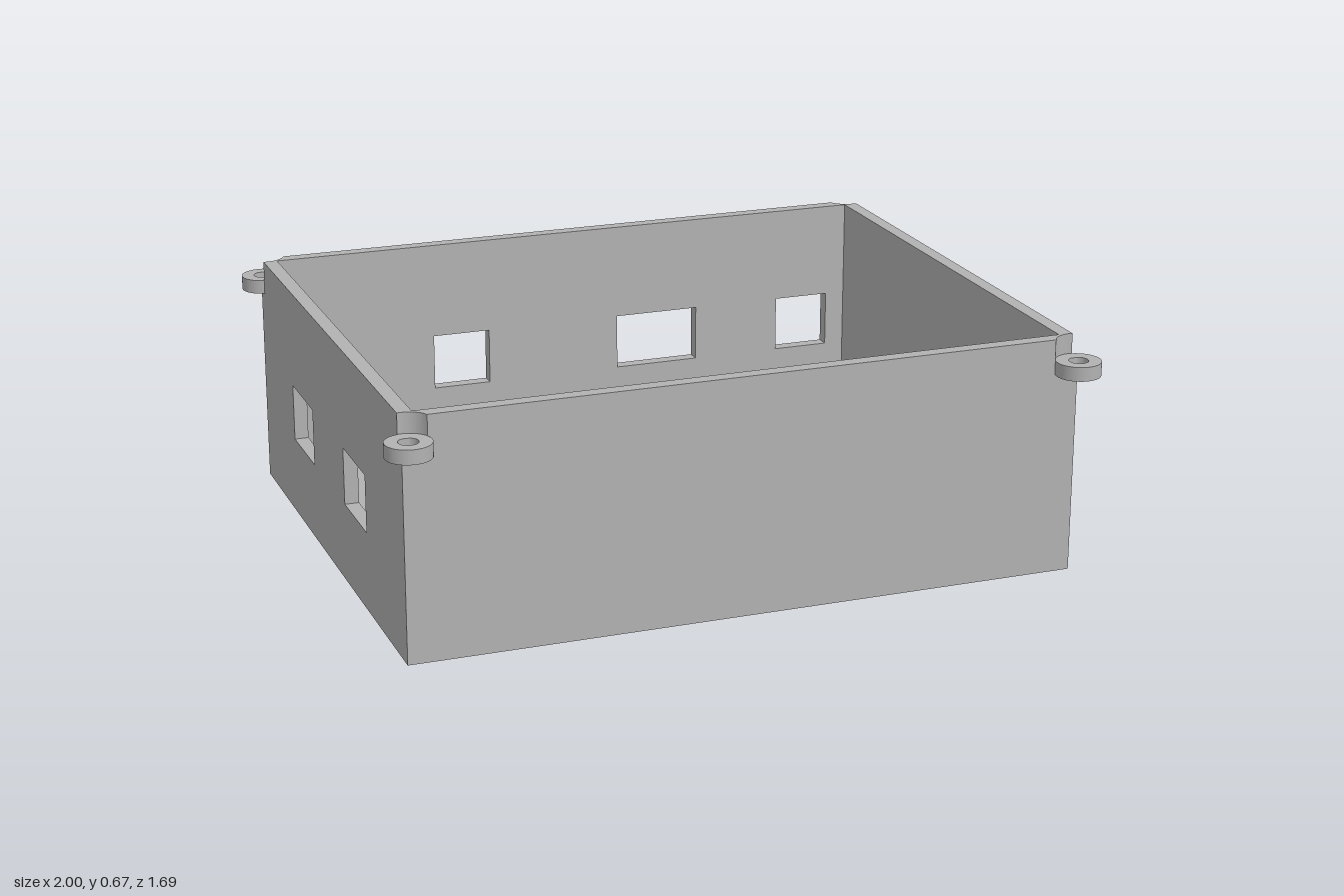
import * as THREE from 'three';

const HX = 0.949, HZ = 0.757, H = 0.674, T = 0.04;      // outer half sizes, height, wall thickness
const LUG = { x: 0.9375, z: 0.782, r: 0.0625, hole: 0.027, y0: 0.577, y1: 0.617 };

const extrude = (shape, depth) =>
  new THREE.ExtrudeGeometry(shape, { depth, bevelEnabled: false, curveSegments: 32 });

// Closed rectangle outline from two opposite corners
function rect(PathType, x0, y0, x1, y1) {
  return new PathType([[x0, y0], [x1, y0], [x1, y1], [x0, y1]].map(p => new THREE.Vector2(...p)));
}

function circle(PathType, x, y, r) {
  const p = new PathType();
  p.absarc(x, y, r, 0, Math.PI * 2, false);
  return p;
}

// Upright wall panel with cut-outs, extruded by the wall thickness
function wallGeometry(half, holes) {
  const shape = rect(THREE.Shape, -half, 0, half, LUG.y1);
  shape.holes.push(...holes);
  return extrude(shape, T);
}

const slot = (x0, x1, y0, y1) => rect(THREE.Path, x0, y0, x1, y1);

// Plan of the rim: rectangle whose corners are scooped out above the lugs
function rimShape() {
  const a0 = -Math.acos((HX - LUG.x) / LUG.r);
  const a1 = -Math.PI + Math.asin((LUG.z - HZ) / LUG.r);
  const arc = [];
  for (let i = 0; i <= 12; i++) {
    const a = a0 + (a1 - a0) * i / 12;
    arc.push([LUG.x + LUG.r * Math.cos(a), LUG.z + LUG.r * Math.sin(a)]);
  }
  const points = [];
  for (const [sx, sz] of [[1, 1], [-1, 1], [-1, -1], [1, -1]]) {
    const corner = arc.map(([x, z]) => new THREE.Vector2(x * sx, z * sz));
    points.push(...(sx * sz > 0 ? corner : corner.reverse()));
  }
  const shape = new THREE.Shape(points);
  shape.holes.push(slot(T - HX, HX - T, T - HZ, HZ - T));
  return shape;
}

export function createModel() {
  const group = new THREE.Group();
  group.name = 'enclosureBase';
  const grey = new THREE.MeshStandardMaterial({ color: 0xb2b2b2 });
  grey.name = 'grey plastic';

  const add = (name, geometry, x, y, z) => {
    const mesh = new THREE.Mesh(geometry, grey);
    mesh.name = name;
    mesh.position.set(x, y, z);
    group.add(mesh);
    return mesh;
  };

  // Floor
  add('floor', new THREE.BoxGeometry(2 * (HX - T), T, 2 * (HZ - T)), 0, T / 2, 0);

  // Front wall is plain, back wall has three ports
  add('frontWall', wallGeometry(HX, []), 0, 0, HZ - T);
  add('backWall', wallGeometry(HX, [
    slot(0.68, 0.85, 0.225, 0.39),
    slot(0.15, 0.41, 0.225, 0.39),
    slot(-0.437, -0.263, 0.225, 0.39),
  ]), 0, 0, -HZ);

  // Side walls: turned a quarter, so panel x runs along -z
  const sideHalf = HZ - T;
  add('leftWall', wallGeometry(sideHalf, [
    slot(-0.34, -0.03, 0.155, 0.325),
    circle(THREE.Path, -0.505, 0.157, 0.057),
  ]).rotateY(Math.PI / 2), HX - T, 0, 0);
  add('rightWall', wallGeometry(sideHalf, [
    slot(-0.38, -0.155, 0.227, 0.39),
    slot(0.18, 0.408, 0.227, 0.39),
  ]).rotateY(Math.PI / 2), -HX, 0, 0);

  // Rim with scooped corners
  add('rim', extrude(rimShape(), H - LUG.y1).rotateX(-Math.PI / 2), 0, LUG.y1, 0);

  // Screw lugs at the four corners
  const ring = circle(THREE.Shape, 0, 0, LUG.r);
  ring.holes.push(circle(THREE.Path, 0, 0, LUG.hole));
  const lugGeometry = extrude(ring, LUG.y1 - LUG.y0).rotateX(-Math.PI / 2);
  for (const sx of [-1, 1]) {
    for (const sz of [-1, 1]) {
      add(`${sz > 0 ? 'front' : 'back'}${sx > 0 ? 'Left' : 'Right'}ScrewLug`,
        lugGeometry, sx * LUG.x, LUG.y0, sz * LUG.z);
    }
  }
  return group;
}
